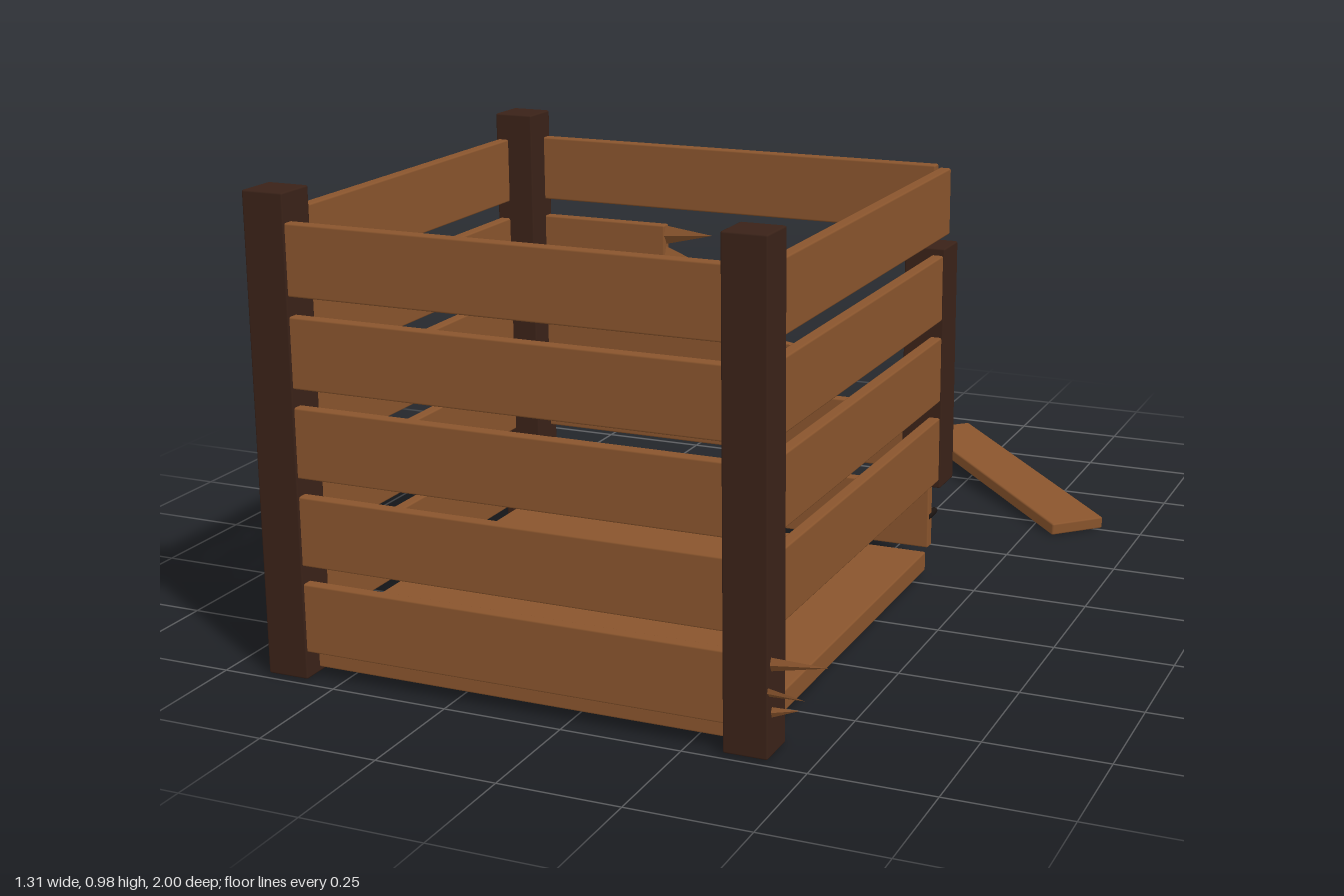
import * as THREE from 'three';
import { RoundedBoxGeometry } from 'three/addons/geometries/RoundedBoxGeometry.js';

const wood = new THREE.MeshStandardMaterial({ color: 0x8a552d });
const darkWood = new THREE.MeshStandardMaterial({ color: 0x3a2218 });
const iron = new THREE.MeshStandardMaterial({ color: 0x1c1512 });

// Crate corner centres, plank rows and sizes
const X0 = -0.615, X1 = 0.37, Z0 = -0.053, Z1 = 0.937;
const POST = 0.09, THICK = 0.026, OUT = 0.028, PLANK_H = 0.143;
const rowY = [0.133, 0.313, 0.493, 0.673, 0.855]; // bottom to top

export function createModel() {
  const model = new THREE.Group();
  model.name = 'brokenCrate';

  const add = (name, geometry, material, x, y, z) => {
    const mesh = new THREE.Mesh(geometry, material);
    mesh.name = name;
    mesh.position.set(x, y, z);
    model.add(mesh);
    return mesh;
  };
  const box = (name, w, h, d, x, y, z, material = wood) =>
    add(name, new RoundedBoxGeometry(w, h, d, 1, 0.004), material, x, y, z);

  // Plank along x between two ends
  const plankX = (name, a, b, y, z) => box(name, b - a, PLANK_H, THICK, (a + b) / 2, y, z);
  // Plank along z, spanning the crate
  const plankZ = (name, x, y) => box(name, THICK, PLANK_H, Z1 - Z0, x, y, (Z0 + Z1) / 2);

  // Pointed sliver from a base point to a tip
  const splinter = (from, to, radius) => {
    const a = new THREE.Vector3(...from), b = new THREE.Vector3(...to);
    const dir = b.clone().sub(a);
    const geometry = new THREE.ConeGeometry(radius, dir.length(), 4).toNonIndexed();
    geometry.scale(1, 1, 0.5);
    geometry.computeVertexNormals();
    const mid = a.add(b).multiplyScalar(0.5);
    const mesh = add('splinter', geometry, wood, mid.x, mid.y, mid.z);
    mesh.quaternion.setFromUnitVectors(new THREE.Vector3(0, 1, 0), dir.normalize());
  };

  // Corner posts; the one at back +x has lost both ends
  const post = (name, x, z, y0 = 0.005, y1 = 0.985) =>
    box(name, POST, y1 - y0, POST, x, (y0 + y1) / 2, z, darkWood);
  post('frontRightPost', X0, Z1);
  post('frontLeftPost', X1, Z1);
  post('backRightPost', X0, Z0);
  post('brokenPost', X1, Z0, 0.225, 0.76);

  // Floor panel
  box('floor', X1 - X0, 0.044, Z1 - Z0, (X0 + X1) / 2, 0.037, (Z0 + Z1) / 2);

  // Side planks; rows 2 and 3 at the back are snapped, the lowest at +x is missing
  const backEnds = [X1, X1, -0.09, -0.27, X1];
  rowY.forEach((y, i) => {
    plankX('frontPlank', X0, X1, y, Z1 + OUT);
    plankX('backPlank', X0, backEnds[i], y, Z0 - OUT);
    plankZ('rightPlank', X0 - OUT, y);
    if (i > 0) plankZ('leftPlank', X1 + OUT, y);
  });

  // Splinters on the snapped back planks: [row, dy, length, tip rise, tip dz]
  [
    [2, 0.048, 0.08, 0.008, 0.01], [2, 0, 0.15, -0.012, -0.045], [2, -0.045, 0.11, -0.01, 0.015],
    [3, 0.048, 0.12, 0.01, 0.015], [3, 0.002, 0.08, -0.01, 0.005], [3, -0.046, 0.11, -0.005, 0.01],
  ].forEach(([row, dy, len, rise, dz]) => {
    const x = backEnds[row], y = rowY[row] + dy, z = Z0 - OUT;
    splinter([x - 0.012, y, z], [x + len, y + rise, z + dz], 0.024);
  });

  // Splinters poking out past the front post
  splinter([0.36, 0.182, 0.962], [0.53, 0.2, 0.97], 0.02);
  splinter([0.36, 0.135, 0.962], [0.495, 0.142, 0.998], 0.016);
  splinter([0.36, 0.082, 0.962], [0.47, 0.104, 0.96], 0.02);

  // Nails backing out of the rear corners
  for (const x of [X0 - 0.003, X1 - 0.005]) {
    for (const y of [rowY[0], rowY[1]]) {
      const nail = add('nail', new THREE.CylinderGeometry(0.008, 0.008, 0.05, 8), iron, x, y, -0.098);
      nail.rotation.x = Math.PI / 2;
    }
  }

  // Loose plank lying behind the crate
  const loose = box('loosePlank', 0.69, 0.028, 0.135, 0.365, 0.039, -0.708);
  loose.rotation.set(0, -Math.PI / 4, -0.063);

  return model;
}
